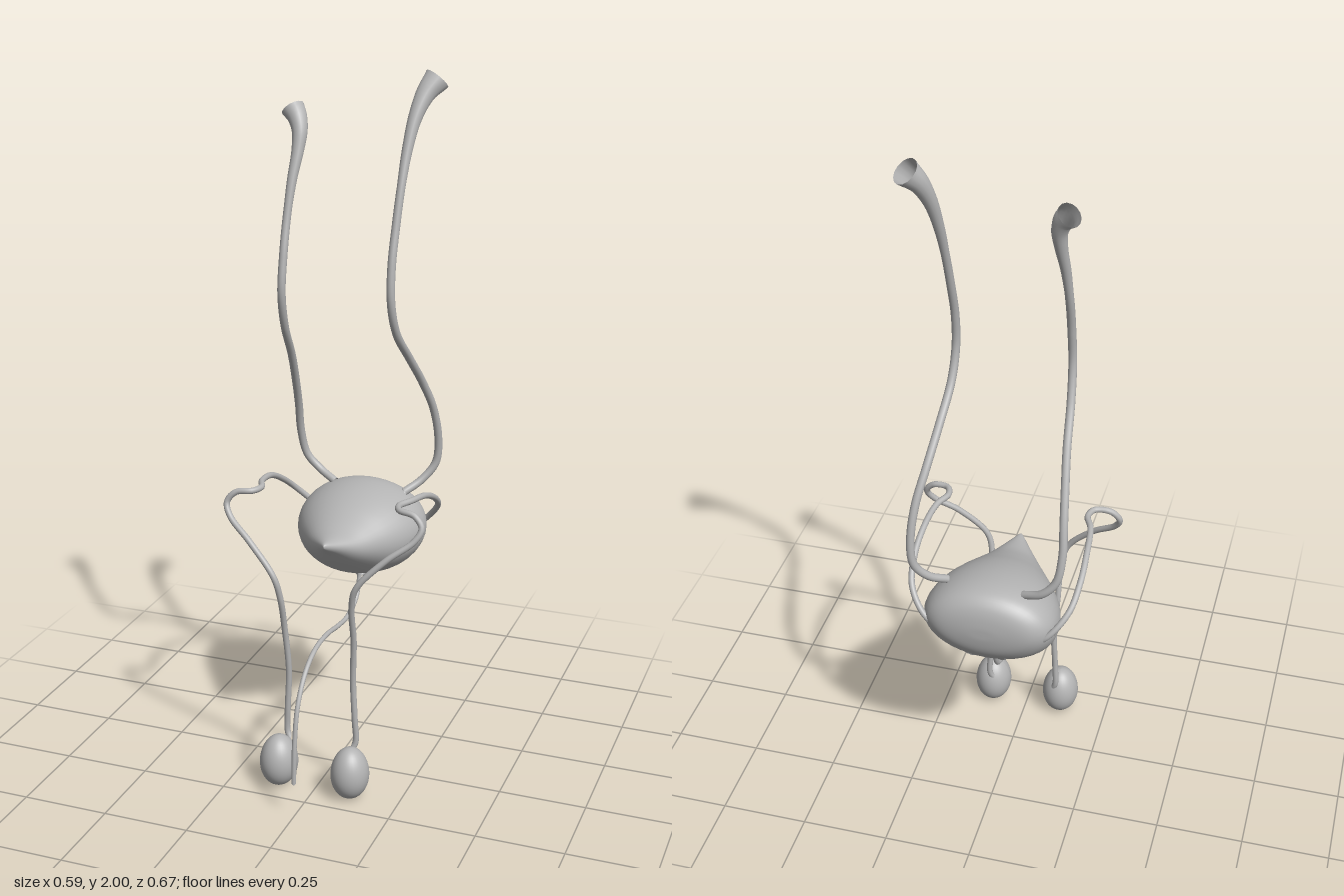
import * as THREE from 'three';

const grey = new THREE.MeshStandardMaterial({ color: 0xb4b4b4 });
grey.name = 'plain grey';
grey.side = THREE.DoubleSide;

const curveOf = (pts) => new THREE.CatmullRomCurve3(pts.map((p) => new THREE.Vector3(...p)));

// Smooth tube whose radius follows radiusAt(t) along the path
function duct(name, pts, radiusAt, segments = 120) {
  const path = curveOf(pts);
  const sides = 14;
  const geo = new THREE.TubeGeometry(path, segments, 1, sides, false);
  const pos = geo.attributes.position;
  const v = new THREE.Vector3();
  for (let i = 0; i <= segments; i++) {
    const c = path.getPointAt(i / segments);
    const r = radiusAt(i / segments);
    for (let j = 0; j <= sides; j++) {
      const k = i * (sides + 1) + j;
      v.fromBufferAttribute(pos, k).sub(c).multiplyScalar(r).add(c);
      pos.setXYZ(k, v.x, v.y, v.z);
    }
  }
  const mesh = new THREE.Mesh(geo, grey);
  mesh.name = name;
  return mesh;
}

// Constant radius with rounded-off ends
const closedEnds = (r) => (t) => r * Math.sqrt(Math.min(1, Math.min(t, 1 - t) / 0.01));

// Thin tube that swells into an open funnel at its last part
const funnel = (r, mouth) => (t) => {
  const f = Math.max(0, (t - 0.78) / 0.22);
  return r + (mouth - r) * (0.35 * f + 0.65 * f ** 4);
};

// Pear-shaped sac lofted front to back: z, half width, top, bottom
function makeBladder() {
  const sections = [
    [0.095, 0, 0.722, 0.718], [0.085, 0.01, 0.728, 0.707], [0.05, 0.037, 0.73, 0.68],
    [0, 0.077, 0.737, 0.637], [-0.05, 0.114, 0.755, 0.6], [-0.1, 0.148, 0.776, 0.567],
    [-0.15, 0.174, 0.792, 0.549], [-0.2, 0.188, 0.802, 0.542], [-0.25, 0.189, 0.805, 0.55],
    [-0.29, 0.174, 0.798, 0.574], [-0.315, 0.147, 0.779, 0.604], [-0.329, 0.11, 0.752, 0.633],
    [-0.336, 0.05, 0.718, 0.668], [-0.337, 0, 0.693, 0.693],
  ];
  const plan = curveOf(sections.map((s) => [s[0], s[1], 0]));
  const side = curveOf(sections.map((s) => [s[2], s[3], 0]));
  plan.curveType = side.curveType = 'catmullrom';
  const rings = 52, sides = 40;
  const verts = [], index = [];
  for (let i = 0; i <= rings; i++) {
    const p = plan.getPoint(i / rings), s = side.getPoint(i / rings);
    for (let j = 0; j < sides; j++) {
      const a = (j / sides) * Math.PI * 2;
      verts.push(Math.max(0, p.y) * Math.cos(a), (s.x + s.y) / 2 + ((s.x - s.y) / 2) * Math.sin(a), p.x);
      if (i === rings) continue;
      const n = (j + 1) % sides;
      const a0 = i * sides + j, b0 = i * sides + n;
      index.push(a0, a0 + sides, b0, b0, a0 + sides, b0 + sides);
    }
  }
  const geo = new THREE.BufferGeometry();
  geo.setAttribute('position', new THREE.Float32BufferAttribute(verts, 3));
  geo.setIndex(index);
  geo.computeVertexNormals();
  const mesh = new THREE.Mesh(geo, grey);
  mesh.name = 'bladder';
  return mesh;
}

export function createModel() {
  const model = new THREE.Group();
  model.name = 'urinaryTract';
  model.add(makeBladder());

  // Long ureters, each ending in a funnel; the left one is taller
  model.add(duct('leftUreter', [
    [0.125, 0.785, -0.235], [0.165, 0.815, -0.272], [0.2, 0.865, -0.294], [0.208, 0.94, -0.29],
    [0.2, 1.04, -0.262], [0.182, 1.13, -0.212], [0.167, 1.22, -0.135], [0.155, 1.31, -0.055],
    [0.15, 1.4, -0.023], [0.148, 1.5, -0.03], [0.15, 1.6, -0.055], [0.154, 1.7, -0.082],
    [0.16, 1.8, -0.115], [0.171, 1.88, -0.145], [0.19, 1.94, -0.175], [0.213, 1.975, -0.198],
  ], funnel(0.0115, 0.037)));
  model.add(duct('rightUreter', [
    [-0.095, 0.785, -0.25], [-0.15, 0.813, -0.268], [-0.187, 0.855, -0.263], [-0.2, 0.93, -0.247],
    [-0.196, 1.02, -0.22], [-0.188, 1.11, -0.177], [-0.179, 1.2, -0.125], [-0.172, 1.3, -0.058],
    [-0.167, 1.4, -0.025], [-0.165, 1.5, -0.035], [-0.164, 1.6, -0.06], [-0.158, 1.7, -0.085],
    [-0.15, 1.78, -0.11], [-0.15, 1.83, -0.125], [-0.162, 1.865, -0.137], [-0.178, 1.885, -0.147],
  ], funnel(0.0115, 0.033)));

  // Urethra from the sac's underside, curving forward and down
  model.add(duct('urethra', [
    [0, 0.56, -0.2], [0, 0.51, -0.2], [0, 0.457, -0.175], [0, 0.428, -0.1], [0, 0.432, -0.02],
    [0, 0.445, 0.07], [0, 0.44, 0.16], [0, 0.405, 0.235], [0, 0.33, 0.295], [0, 0.22, 0.322],
    [0, 0.1, 0.33],
  ], closedEnds(0.0068)));

  for (const [label, s] of [['left', 1], ['right', -1]]) {
    // Egg-shaped gland, a little fuller at the bottom
    const geo = new THREE.SphereGeometry(1, 32, 24);
    const pos = geo.attributes.position;
    for (let i = 0; i < pos.count; i++) {
      const y = pos.getY(i), w = 1.03 - 0.06 * y;
      pos.setXYZ(i, pos.getX(i) * 0.053 * w, y * 0.077, pos.getZ(i) * 0.057 * w);
    }
    geo.computeVertexNormals();
    const testis = new THREE.Mesh(geo, grey);
    testis.name = label + 'Testis';
    testis.position.set(s * 0.108, 0.08, 0.173);
    model.add(testis);

    // Sperm duct: up from the gland, out, back over the top, through the sac and into the urethra
    const path = [
      [0.093, 0.12, 0.122], [0.104, 0.145, 0.116], [0.102, 0.22, 0.118], [0.097, 0.34, 0.119],
      [0.103, 0.47, 0.132], [0.106, 0.58, 0.158], [0.122, 0.645, 0.168], [0.2, 0.73, 0.148],
      [0.27, 0.785, 0.118], [0.286, 0.82, 0.103], [0.262, 0.85, 0.095], [0.217, 0.856, 0.085],
      [0.204, 0.856, 0.05], [0.223, 0.855, 0], [0.234, 0.84, -0.09], [0.236, 0.8, -0.18],
      [0.222, 0.75, -0.25], [0.175, 0.69, -0.291], [0.11, 0.635, -0.285], [0.05, 0.588, -0.29],
      [0.025, 0.548, -0.24], [0.003, 0.515, -0.2],
    ].map(([x, y, z]) => [s * x, y, z]);
    model.add(duct(label + 'SpermDuct', path, closedEnds(0.0088), 180));
  }
  return model;
}
